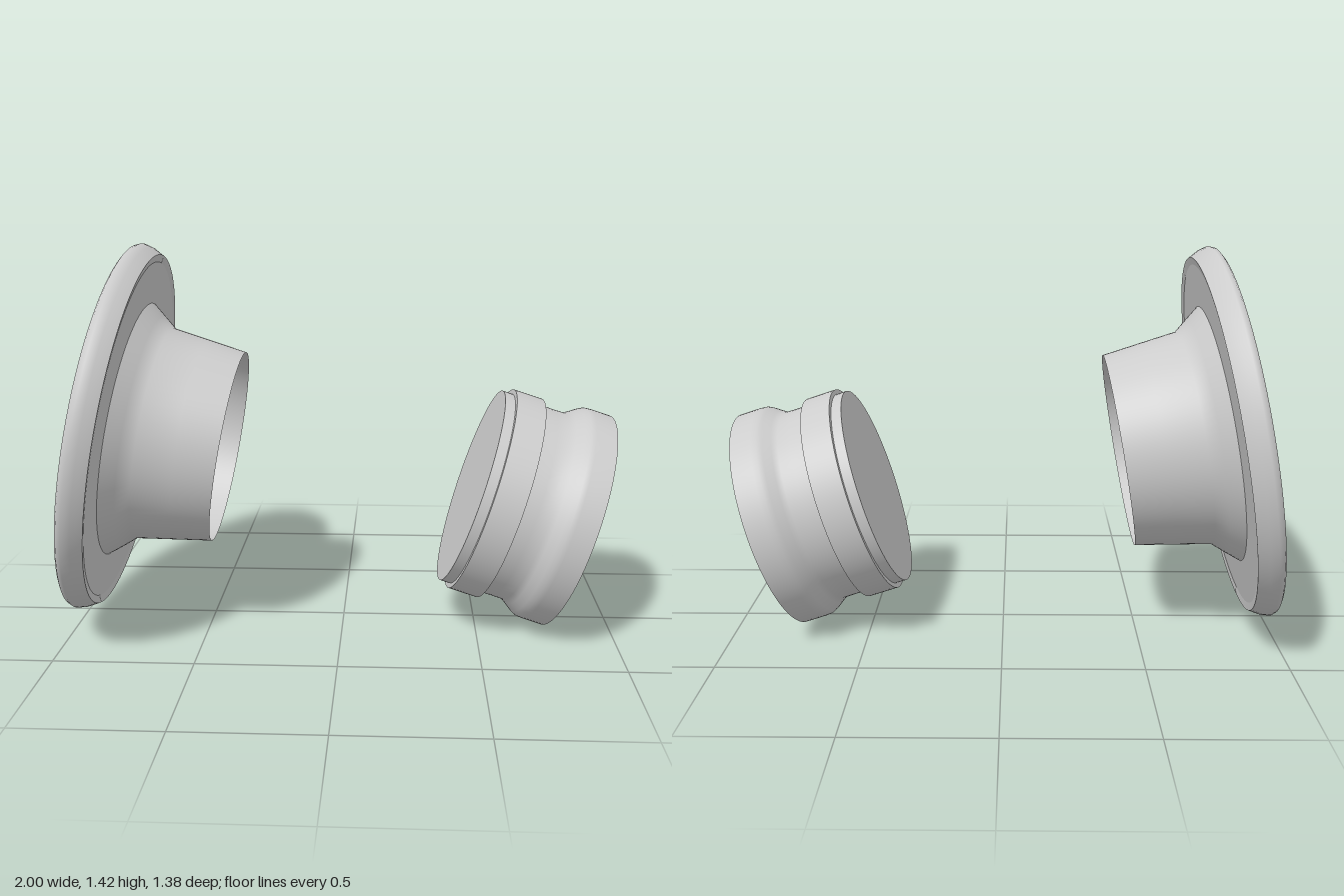
import * as THREE from 'three';

const shell = new THREE.MeshStandardMaterial({ color: 0xcccccc, side: THREE.DoubleSide });
shell.name = 'light grey';

// Each run is a smooth [radius, distance along axis] profile; edges between runs stay sharp.
function turnedPart(name, runs, centre, tilt) {
  const part = new THREE.Group();
  part.name = name;
  for (const [label, points] of Object.entries(runs)) {
    const profile = points.map(([r, h]) => new THREE.Vector2(r, h));
    const mesh = new THREE.Mesh(new THREE.LatheGeometry(profile, 96), shell);
    mesh.name = label;
    part.add(mesh);
  }
  // The turning axis points towards +x and dips by the tilt
  part.rotation.z = -Math.PI / 2 - tilt;
  part.position.set(centre[0], centre[1], 0);
  return part;
}

export function createModel() {
  const model = new THREE.Group();
  model.name = 'flangeAndPlug';

  // Dished flange with an open, tapering neck
  model.add(turnedPart('flange', {
    dishFloor: [[0, 0.08], [0.49, 0.08]],
    dishWall: [[0.49, 0.08], [0.56, 0.063], [0.63, 0.035], [0.672, 0]],
    rim: [[0.672, 0], [0.685, 0.008], [0.692, 0.025], [0.684, 0.055], [0.663, 0.093]],
    rimLip: [[0.663, 0.093], [0.635, 0.088]],
    backFace: [[0.635, 0.088], [0.48, 0.088]],
    neck: [[0.48, 0.088], [0.44, 0.137], [0.402, 0.182], [0.382, 0.32], [0.361, 0.463]],
  }, [-0.888, 0.743], 0.172));

  // Closed plug with a raised band, a waist and a wide head
  model.add(turnedPart('plug', {
    innerCap: [[0, -0.412], [0.375, -0.412]],
    collar: [[0.375, -0.412], [0.375, -0.374]],
    bandFrontStep: [[0.375, -0.374], [0.393, -0.374]],
    band: [[0.393, -0.374], [0.393, -0.263]],
    bandRearStep: [[0.393, -0.263], [0.37, -0.263]],
    waistAndHead: [[0.37, -0.263], [0.369, -0.21], [0.37, -0.165], [0.383, -0.145],
      [0.402, -0.118], [0.412, -0.1], [0.414, -0.08], [0.414, 0]],
    outerCap: [[0.414, 0], [0, 0]],
  }, [0.868, 0.395], 0.319));

  return model;
}
